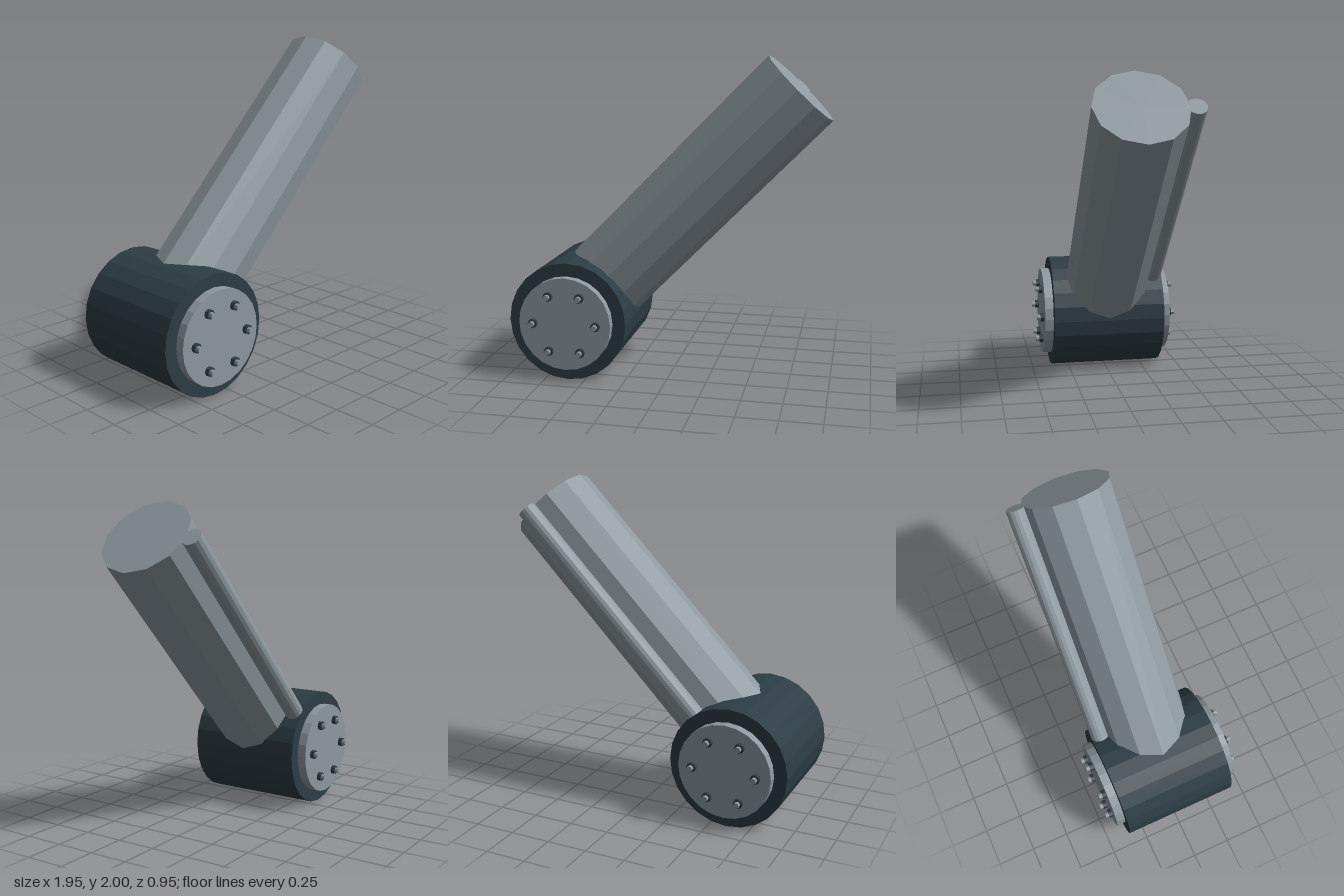
import * as THREE from 'three';

export function createModel() {
  const model = new THREE.Group();
  model.name = 'armJoint';

  const steel = new THREE.MeshStandardMaterial({ color: 0x8d999f, flatShading: true });
  steel.name = 'lightSteel';
  const dark = new THREE.MeshStandardMaterial({ color: 0x2d3d45, flatShading: true });
  dark.name = 'darkSteel';

  // Cylinder along local y
  const rod = (name, radius, length, sides, material) => {
    const mesh = new THREE.Mesh(new THREE.CylinderGeometry(radius, radius, length, sides), material);
    mesh.name = name;
    return mesh;
  };

  // Joint: a drum lying along z, with a bolted plate at each end
  const joint = new THREE.Group();
  joint.name = 'joint';
  joint.position.set(-0.605, 0.372, 0);
  model.add(joint);

  const addAlongZ = (name, radius, sides, material, x, y, z0, z1) => {
    const mesh = rod(name, radius, Math.abs(z1 - z0), sides, material);
    mesh.rotation.x = Math.PI / 2;
    mesh.position.set(x, y, (z0 + z1) / 2);
    joint.add(mesh);
  };

  addAlongZ('drum', 0.372, 24, dark, 0, 0, -0.37, 0.37);

  for (const side of [1, -1]) {
    addAlongZ('endPlate', 0.292, 24, steel, 0, 0, side * 0.36, side * 0.426);
    for (let i = 0; i < 6; i++) {
      const a = (i * Math.PI) / 3;
      const x = 0.2 * Math.cos(a), y = 0.2 * Math.sin(a);
      addAlongZ('nut', 0.029, 8, dark, x, y, side * 0.42, side * 0.45);
      addAlongZ('stud', 0.018, 8, steel, x, y, side * 0.44, side * 0.473);
    }
  }

  // Arm: rises from the drum, with a thin pipe along its back
  const foot = new THREE.Vector3(-0.605, 0.405, 0);
  const tip = new THREE.Vector3(0.774, 1.808, 0);
  const along = tip.clone().sub(foot);
  const length = along.length();
  const arm = new THREE.Group();
  arm.name = 'arm';
  arm.position.copy(foot);
  arm.rotation.z = -Math.atan2(along.x, along.y);
  model.add(arm);

  const start = 0.08;
  const addAlongArm = (name, radius, sides, z) => {
    const mesh = rod(name, radius, length - start, sides, steel);
    mesh.position.set(0, (length + start) / 2, z);
    arm.add(mesh);
  };
  addAlongArm('armTube', 0.276, 12, 0);
  addAlongArm('sidePipe', 0.059, 16, -0.31);

  return model;
}
